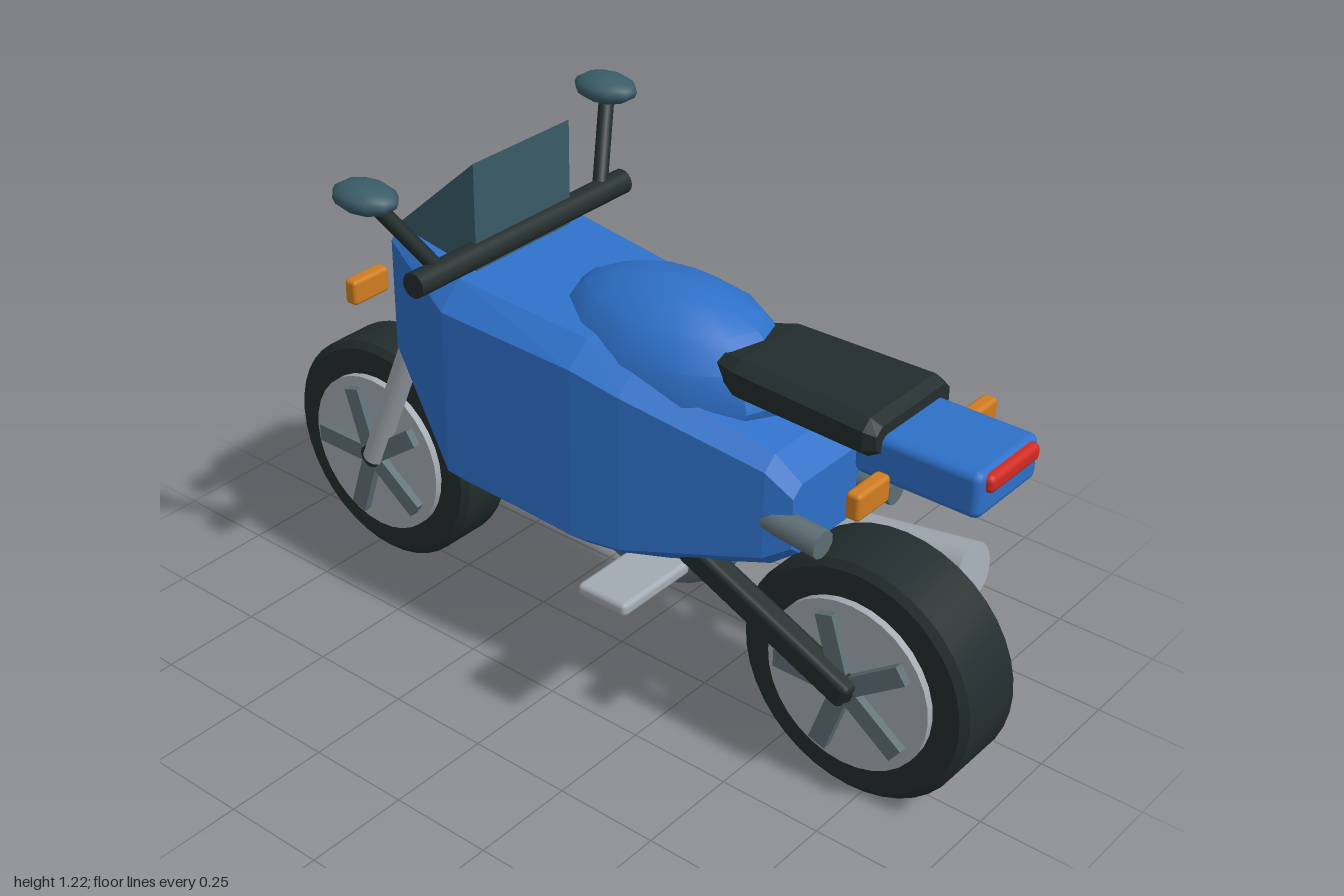
import * as THREE from 'three';
import { toCreasedNormals } from 'three/addons/utils/BufferGeometryUtils.js';
import { RoundedBoxGeometry } from 'three/addons/geometries/RoundedBoxGeometry.js';
import { ConvexGeometry } from 'three/addons/geometries/ConvexGeometry.js';

const V = (x, y, z) => new THREE.Vector3(x, y, z);

function material(name, color) {
  const m = new THREE.MeshStandardMaterial({ color });
  m.name = name;
  return m;
}

// Loft of chamfered rectangles: each section is [z, halfWidth, bottom, top, chamferX, chamferY]
function loft(sections) {
  const rings = sections.map(([z, w, b, t, cx, cy]) => [
    V(w, b + cy, z), V(w, t - cy, z), V(w - cx, t, z), V(cx - w, t, z),
    V(-w, t - cy, z), V(-w, b + cy, z), V(cx - w, b, z), V(w - cx, b, z),
  ]);
  const pts = [];
  for (let i = 0; i < rings.length - 1; i++) {
    for (let j = 0; j < 8; j++) {
      const k = (j + 1) % 8, a = rings[i], c = rings[i + 1];
      pts.push(a[j], a[k], c[k], a[j], c[k], c[j]);
    }
  }
  const first = rings[0], last = rings[rings.length - 1];
  for (let j = 1; j < 7; j++) {
    pts.push(last[0], last[j], last[j + 1], first[0], first[j + 1], first[j]);
  }
  const g = new THREE.BufferGeometry().setFromPoints(pts);
  g.computeVertexNormals();
  return g;
}

// Cylinder running from point a to point b
function rod(a, b, ra, rb = ra, sides = 16) {
  const d = b.clone().sub(a);
  const g = new THREE.CylinderGeometry(rb, ra, d.length(), sides);
  g.applyQuaternion(new THREE.Quaternion().setFromUnitVectors(V(0, 1, 0), d.normalize()));
  const mid = a.clone().add(b).multiplyScalar(0.5);
  return g.translate(mid.x, mid.y, mid.z);
}

// Rounded box given by its limits on each axis
function box(x0, x1, y0, y1, z0, z1, r = 0.01) {
  return new RoundedBoxGeometry(x1 - x0, y1 - y0, z1 - z0, 2, r)
    .translate((x0 + x1) / 2, (y0 + y1) / 2, (z0 + z1) / 2);
}

function ellipsoid(x, y, z, rx, ry, rz, w = 12, h = 8) {
  return new THREE.SphereGeometry(1, w, h).scale(rx, ry, rz).translate(x, y, z);
}

export function createModel() {
  const blue = material('blue paint', 0x2e70c8);
  const black = material('black rubber', 0x232d2d);
  const silver = material('silver metal', 0xa3abb3);
  const steel = material('dark steel', 0x5f7076);
  const glass = material('tinted glass', 0x3a5c68);
  const orange = material('orange lens', 0xd07d20);
  const red = material('red lens', 0xd02a22);
  const lamp = material('lamp lens', 0xbcc6cc);

  const root = new THREE.Group();
  root.name = 'motorcycle';
  const add = (name, geometry, mat, parent = root) => {
    const mesh = new THREE.Mesh(geometry, mat);
    mesh.name = name;
    parent.add(mesh);
    return mesh;
  };

  // Wheels: bevelled tyre, rim discs on both sides, five spokes and a hub
  function wheel(name, z, half) {
    const group = new THREE.Group();
    group.name = name;
    group.position.set(0, 0.288, z);
    root.add(group);
    const profile = [[0, -half], [0.27, -half], [0.288, 0.012 - half],
      [0.288, half - 0.012], [0.27, half], [0, half]];
    const tyre = new THREE.LatheGeometry(profile.map(([r, y]) => new THREE.Vector2(r, y)), 40);
    add('tyre', toCreasedNormals(tyre.rotateZ(-Math.PI / 2), 0.4), black, group);
    const rim = half + 0.018, face = half + 0.038;
    add('rim', rod(V(-rim, 0, 0), V(rim, 0, 0), 0.205, 0.205, 32), silver, group);
    add('hub', rod(V(-face - 0.003, 0, 0), V(face + 0.003, 0, 0), 0.03, 0.03, 12), black, group);
    for (let i = 0; i < 5; i++) {
      const spoke = new THREE.BoxGeometry(face * 2, 0.045, 0.15);
      spoke.translate(0, 0, -0.102).rotateX(i * Math.PI * 0.4);
      add('spoke', spoke, steel, group);
    }
  }
  wheel('rearWheel', 0.712, 0.095);
  wheel('frontWheel', -0.712, 0.075);

  // Faceted fairing
  add('fairing', loft([
    [-0.548, 0.155, 0.64, 0.98, 0.03, 0.035],
    [-0.29, 0.265, 0.43, 0.955, 0.06, 0.06],
    [0.06, 0.245, 0.405, 0.92, 0.06, 0.05],
    [0.18, 0.228, 0.415, 0.885, 0.055, 0.045],
    [0.51, 0.155, 0.515, 0.785, 0.035, 0.03],
    [0.567, 0.13, 0.555, 0.725, 0.03, 0.025],
  ]), blue);

  // Tank, seat, tail and engine
  add('tank', toCreasedNormals(ellipsoid(0, 0.83, 0.145, 0.195, 0.198, 0.315), 0.5), blue);
  add('seat', loft([
    [0.335, 0.1, 0.895, 0.945, 0.02, 0.015],
    [0.40, 0.125, 0.865, 0.957, 0.025, 0.02],
    [0.73, 0.14, 0.865, 0.953, 0.025, 0.022],
    [0.757, 0.13, 0.88, 0.94, 0.02, 0.015],
  ]), black);
  add('tail', box(-0.11, 0.11, 0.81, 0.915, 0.69, 0.985, 0.02), blue);
  add('tailLight', box(-0.09, 0.09, 0.868, 0.908, 0.955, 1, 0.014), red);
  add('engine', ellipsoid(0, 0.42, 0.14, 0.135, 0.148, 0.2, 20, 14), steel);

  // Windscreen wedge
  const wedge = [];
  for (const s of [-1, 1]) {
    wedge.push(V(s * 0.155, 0.93, -0.285), V(s * 0.155, 1.21, -0.285),
      V(s * 0.135, 0.99, -0.535), V(s * 0.135, 0.93, -0.535));
  }
  add('windscreen', new ConvexGeometry(wedge), glass);

  // Handlebar, headlight and exhaust
  add('handlebar', rod(V(-0.345, 0.992, -0.29), V(0.345, 0.992, -0.29), 0.03), black);
  add('headlight', box(-0.12, 0.12, 0.83, 0.92, -0.59, -0.53, 0.02), lamp);
  add('exhaust', rod(V(0.26, 0.33, 0.255), V(0.26, 0.417, 0.78), 0.063, 0.063, 24), silver);

  // Mirrored parts
  for (const s of [-1, 1]) {
    const side = s > 0 ? 'left' : 'right';
    const span = (a, b, ...rest) => box(Math.min(s * a, s * b), Math.max(s * a, s * b), ...rest);
    add(side + 'MirrorStem', rod(V(s * 0.265, 1, -0.29), V(s * 0.38, 1.18, -0.365), 0.018, 0.018, 10), black);
    add(side + 'Mirror', ellipsoid(s * 0.387, 1.19, -0.375, 0.06, 0.033, 0.083, 10, 8), glass);
    add(side + 'Fork', rod(V(s * 0.105, 0.288, -0.705), V(s * 0.105, 0.74, -0.515), 0.029), silver);
    add(side + 'Footrest', span(0.14, 0.362, 0.41, 0.443, 0.178, 0.312, 0.012), silver);
    add(side + 'RearIndicator', span(0.14, 0.25, 0.803, 0.865, 0.77, 0.805), orange);
    add(side + 'FrontIndicator', span(0.14, 0.25, 0.803, 0.865, -0.612, -0.577), orange);
    add(side + 'TailPipe', rod(V(s * 0.125, 0.637, 0.45), V(s * 0.133, 0.627, 0.648), 0.03, 0.033, 10), steel);

    // Swingarm sloping down to the rear axle
    const arm = add(side + 'Swingarm', new RoundedBoxGeometry(0.055, 0.065, 0.48, 2, 0.015), black);
    arm.position.set(s * 0.138, 0.385, 0.52);
    arm.rotation.x = 0.42;
  }
  return root;
}
